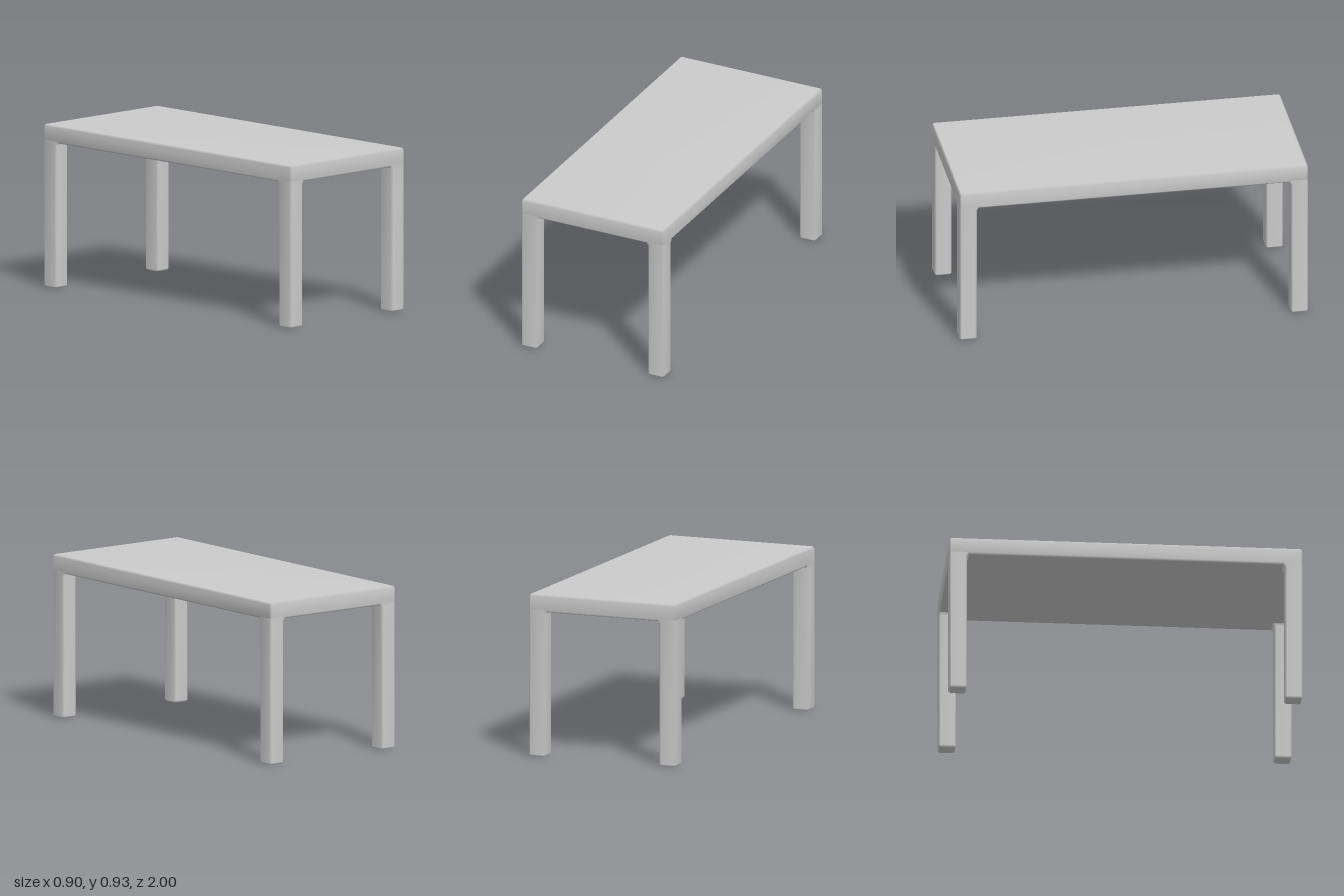
import * as THREE from 'three';
import { mergeVertices } from 'three/addons/utils/BufferGeometryUtils.js';
import { ConvexGeometry } from 'three/addons/geometries/ConvexGeometry.js';

const W = 0.45, L = 1, H = 0.93; // half width, half length, height
const T = 0.1, C = 0.011;        // leg and top thickness, chamfer size
const UNDER = H - T;

// Weld the corners and average the normals, so chamfers shade softly
function smooth(geometry) {
  geometry.deleteAttribute('normal');
  const welded = mergeVertices(geometry, 1e-5);
  welded.computeVertexNormals();
  return welded;
}

// Box with every edge chamfered: the hull of three points at each corner
function chamferedBox(hx, hy, hz) {
  const points = [];
  for (const sx of [-1, 1]) for (const sy of [-1, 1]) for (const sz of [-1, 1]) {
    points.push(
      new THREE.Vector3(sx * hx, sy * (hy - C), sz * (hz - C)),
      new THREE.Vector3(sx * (hx - C), sy * hy, sz * (hz - C)),
      new THREE.Vector3(sx * (hx - C), sy * (hy - C), sz * hz));
  }
  return smooth(new ConvexGeometry(points));
}

// Chamfered square section as eight corners at one height
function ring(x0, x1, z0, z1, c, y) {
  return [
    [x1, z0 + c], [x1, z1 - c], [x1 - c, z1], [x0 + c, z1],
    [x0, z1 - c], [x0, z0 + c], [x0 + c, z0], [x1 - c, z0],
  ].flatMap(([x, z]) => [x, y, z]);
}

// Leg at one corner, flaring on its two inner sides where it meets the top
function legGeometry(sx, sz) {
  const span = (s, outer, inset, flare) => {
    const a = outer - T + inset - flare, b = outer - inset;
    return s > 0 ? [a, b] : [-b, -a];
  };
  const section = (y, inset, flare, c) =>
    ring(...span(sx, W, inset, flare), ...span(sz, L, inset, flare), c, y);

  const positions = [
    ...section(0, C, 0, 0),
    ...section(C, 0, 0, C),
    ...section(UNDER - C, 0, 0, C),
    ...section(UNDER, 0, C, C),
    ...section(UNDER + C, 0, C, C),
  ];
  const index = [];
  for (let r = 0; r < 4; r++) for (let i = 0; i < 8; i++) {
    const a = r * 8 + i, b = r * 8 + (i + 1) % 8;
    index.push(a, a + 8, b, b, a + 8, b + 8);
  }
  for (let i = 1; i < 7; i++) index.push(0, i, i + 1); // foot

  const geometry = new THREE.BufferGeometry();
  geometry.setAttribute('position', new THREE.Float32BufferAttribute(positions, 3));
  geometry.setIndex(index);
  return smooth(geometry);
}

export function createModel() {
  const table = new THREE.Group();
  table.name = 'table';
  const material = new THREE.MeshStandardMaterial({ color: 0xcccccc });

  const add = (name, geometry) => {
    const mesh = new THREE.Mesh(geometry, material);
    mesh.name = name;
    table.add(mesh);
    return mesh;
  };

  // Table top
  add('tableTop', chamferedBox(W, T / 2, L)).position.y = H - T / 2;

  // Four legs, flush with the corners of the top
  for (const sx of [-1, 1]) for (const sz of [-1, 1]) {
    add((sz > 0 ? 'front' : 'back') + (sx > 0 ? 'Left' : 'Right') + 'Leg', legGeometry(sx, sz));
  }
  return table;
}
